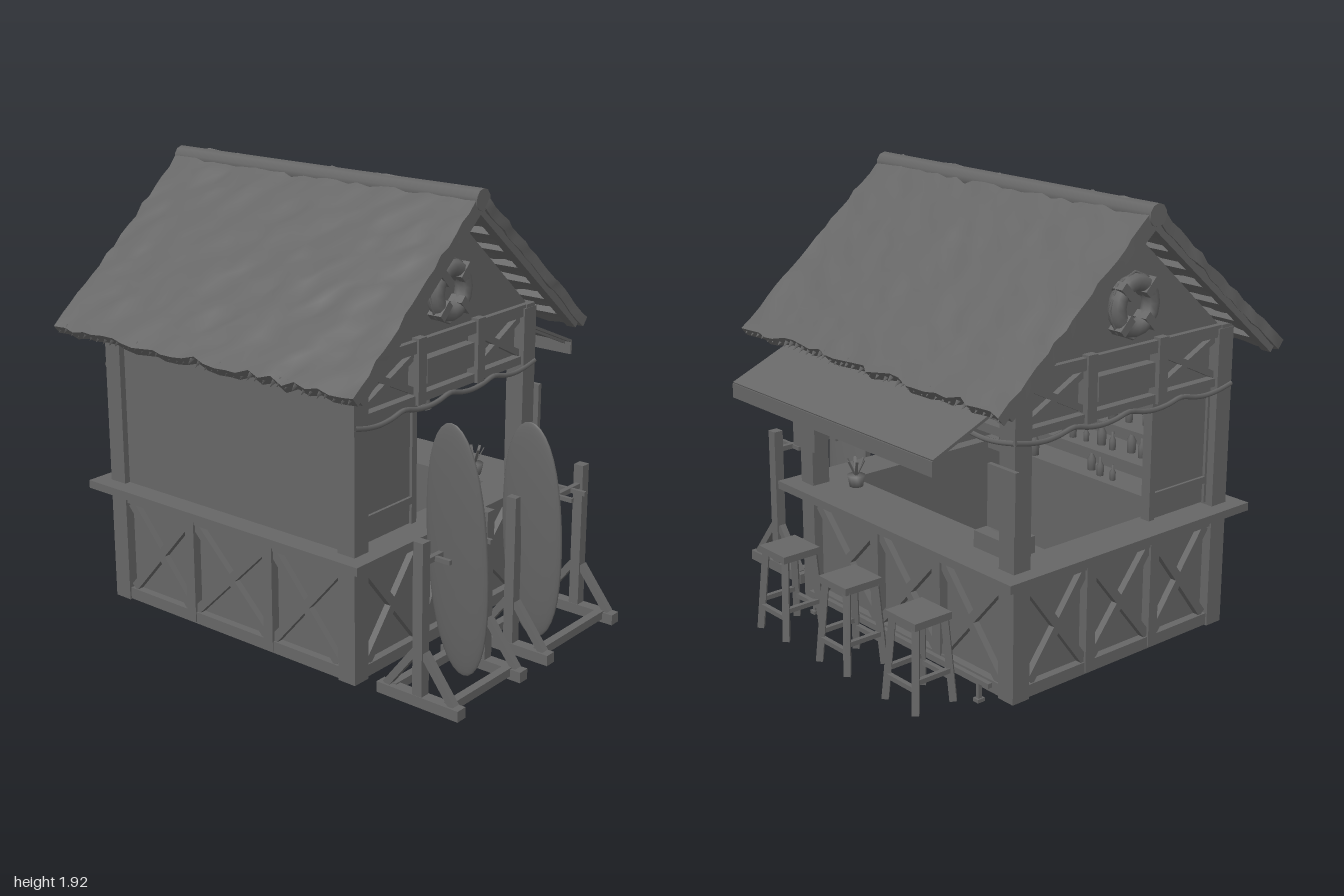
import * as THREE from 'three';

const gray = new THREE.MeshStandardMaterial({ color: 0x666666, side: THREE.DoubleSide });
gray.name = 'weathered gray';
const V = (x, y, z) => new THREE.Vector3(x, y, z);
const points = list => list.map(q => new THREE.Vector2(q[0], q[1]));

function add(parent, name, geo, x = 0, y = 0, z = 0) {
  const m = new THREE.Mesh(geo, gray);
  m.name = name;
  m.position.set(x, y, z);
  parent.add(m);
  return m;
}
const box = (p, name, w, h, d, x, y, z) => add(p, name, new THREE.BoxGeometry(w, h, d), x, y, z);

// Square bar running between two points, in the parent's own frame
function bar(p, name, a, b, w, d = w) {
  const m = box(p, name, w, d, a.distanceTo(b), (a.x + b.x) / 2, (a.y + b.y) / 2, (a.z + b.z) / 2);
  m.quaternion.setFromRotationMatrix(new THREE.Matrix4().lookAt(b, a, V(0, 1, 0)));
  return m;
}
function group(parent, name, x = 0, y = 0, z = 0) {
  const g = new THREE.Group();
  g.name = name;
  g.position.set(x, y, z);
  parent.add(g);
  return g;
}
function lathe(p, name, pts, x, y, z, seg = 10) {
  return add(p, name, new THREE.LatheGeometry(points(pts), seg), x, y, z);
}
const noise = (a, b, c) => {
  const s = Math.sin(a * 127.1 + b * 311.7 + c * 74.7) * 43758.5453;
  return s - Math.floor(s);
};

// Crossed braces inside a rectangle, on plane z
function cross(p, x0, x1, y0, y1, z, w) {
  bar(p, 'crossBrace', V(x0, y0, z), V(x1, y1, z), w);
  bar(p, 'crossBrace', V(x0, y1, z), V(x1, y0, z), w);
}

// Lower clad wall with framed, braced panels; local +z is outward
function lowerWall(p, width, dividers) {
  const h = width / 2;
  box(p, 'wallPanel', width - 0.08, 0.5, 0.03, 0, 0.27, -0.055);
  box(p, 'bottomRail', width - 0.06, 0.05, 0.05, 0, 0.05, -0.03);
  box(p, 'topRail', width - 0.06, 0.05, 0.05, 0, 0.495, -0.03);
  const edges = [-h + 0.08, ...dividers, h - 0.08];
  dividers.forEach(x => box(p, 'panelStud', 0.05, 0.48, 0.055, x, 0.27, -0.028));
  for (let i = 0; i < edges.length - 1; i++)
    cross(p, edges[i] + 0.02, edges[i + 1] - 0.02, 0.08, 0.47, -0.03, 0.038);
}

// Upper truss: two beams, studs, braces and a wavy garland
function upperTruss(p, width, studs, plaque) {
  const h = width / 2;
  box(p, 'topBeam', width, 0.05, 0.06, 0, 1.31, -0.035);
  box(p, 'lowerBeam', width - 0.1, 0.035, 0.05, 0, 1.095, -0.035);
  if (plaque) box(p, 'trussBacking', width - 0.1, 0.2, 0.015, 0, 1.2, -0.055);
  const edges = [-h + 0.07, ...studs, h - 0.07];
  studs.forEach(x => box(p, 'trussStud', 0.05, 0.27, 0.07, x, 1.21, -0.03));
  for (let i = 0; i < edges.length - 1; i++) {
    if (plaque && i === 1) box(p, 'plaque', 0.31, 0.1, 0.045, (edges[1] + edges[2]) / 2, 1.2, -0.025);
    else cross(p, edges[i], edges[i + 1], 1.12, 1.28, -0.035, 0.028);
  }
  const pts = [];
  for (let i = 0; i <= 16; i++)
    pts.push(V(-h + (width * i) / 16, 1.08 - 0.022 * (i % 4 === 0 ? 0 : i % 4 === 2 ? 1 : 0.7), 0.003));
  add(p, 'garland', new THREE.TubeGeometry(new THREE.CatmullRomCurve3(pts), 48, 0.011, 5));
}

// Gable wall carrying a life ring
function gable(p, offset) {
  const tri = new THREE.Shape(points([[-0.59, 1.3], [0.59, 1.3], [0, 1.82]]));
  add(p, 'gableWall', new THREE.ExtrudeGeometry(tri, { depth: 0.03, bevelEnabled: false }), offset, 0, -0.06);
  const x = -offset * 0.7;
  add(p, 'lifeRing', new THREE.TorusGeometry(0.092, 0.036, 8, 16), x, 1.5, 0);
  for (let i = 0; i < 4; i++) {
    const a = Math.PI / 4 + (i * Math.PI) / 2;
    box(p, 'ringBand', 0.076, 0.035, 0.074, x + 0.094 * Math.cos(a), 1.5 + 0.094 * Math.sin(a), 0).rotation.z = a;
  }
  add(p, 'ringRope', new THREE.TorusGeometry(0.132, 0.006, 5, 8), x, 1.5, 0);
}

function roofSide(p, s) {
  const len = 1.008, pitch = 0.701, g = group(p, 'roofSlope', -0.08, 1.91, -0.18);
  g.rotation.z = s > 0 ? -pitch : Math.PI + pitch;
  if (s < 0) g.scale.y = -1;
  // Thatch slab with dented surface and ragged edges
  const geo = new THREE.BoxGeometry(len, 0.045, 1.62, 18, 1, 28);
  const pos = geo.attributes.position;
  for (let i = 0; i < pos.count; i++) {
    const x = pos.getX(i), y = pos.getY(i), z = pos.getZ(i);
    const n = noise(Math.round(x * 50), Math.round(z * 50), s);
    const m = noise(Math.round(z * 50), Math.round(x * 50), s + 4);
    const eave = x > len / 2 - 0.01 ? 0.03 : 0.02;
    const dent = m > 0.93 && y > 0 ? 0.02 : 0;
    pos.setXYZ(i, x + (n - 0.5) * eave, y + (m - 0.5) * 0.014 - dent, z + (n - 0.5) * 0.014);
  }
  geo.computeVertexNormals();
  add(g, 'thatch', geo, len / 2, -0.024, 0);
  // Straw tufts along the eave
  for (let i = 0; i < 42; i++) {
    const t = add(g, 'eaveTuft', new THREE.ConeGeometry(0.016, 0.04, 4), len, -0.015 - 0.015 * noise(i, 2, s), -0.79 + i * 0.0385);
    t.rotation.z = -Math.PI / 2;
  }
  // Purlins under the thatch
  for (let i = 0; i < 7; i++) box(g, 'purlin', 0.035, 0.03, 1.57, 0.12 + i * 0.13, -0.058, 0);
}

function stool(p, z) {
  const g = group(p, 'stool', 0.75, 0, z);
  box(g, 'seat', 0.18, 0.03, 0.18, 0, 0.385, 0);
  for (const a of [-1, 1]) {
    for (const b of [-1, 1]) bar(g, 'stoolLeg', V(a * 0.07, 0.38, b * 0.07), V(a * 0.093, 0.03, b * 0.093), 0.028);
    bar(g, 'stretcher', V(a * 0.088, 0.13, -0.088), V(a * 0.088, 0.13, 0.088), 0.02);
    bar(g, 'stretcher', V(-0.086, 0.16, a * 0.086), V(0.086, 0.16, a * 0.086), 0.02);
  }
}

function boardStand(p, x0, x1) {
  const g = group(p, 'boardStand'), w = x1 - x0;
  for (const x of [x0, x1]) {
    box(g, 'standFoot', 0.05, 0.045, 0.39, x, 0.05, 0.8);
    box(g, 'standPost', 0.045, 0.64, 0.045, x, 0.38, 0.8);
    for (const s of [-1, 1]) bar(g, 'standBrace', V(x, 0.07, 0.8 + s * 0.16), V(x, 0.25, 0.8 + s * 0.02), 0.03);
  }
  for (const z of [0.665, 0.93]) box(g, 'standCrossbar', w, 0.035, 0.035, (x0 + x1) / 2, 0.06, z);
  box(g, 'standRail', w, 0.022, 0.022, (x0 + x1) / 2, 0.61, 0.8);
  for (const f of [0.18, 0.4, 0.62, 0.82]) box(g, 'peg', 0.016, 0.018, 0.14, x0 + w * f, 0.61, 0.81);
}

// Thin leaf-shaped board leaning sideways, a little fuller near the ends
function surfboard(p, x, y, h, lean) {
  const geo = new THREE.SphereGeometry(1, 24, 20);
  const pos = geo.attributes.position;
  for (let i = 0; i < pos.count; i++) {
    const t = pos.getY(i), k = 1 + 0.12 * t * t;
    pos.setXYZ(i, pos.getX(i) * 0.028, (t * h) / 2, pos.getZ(i) * 0.142 * k);
  }
  geo.computeVertexNormals();
  add(p, 'surfboard', geo, x, y, 0.858).rotation.z = lean;
}

export function createModel() {
  const root = new THREE.Group();
  root.name = 'beachBar';
  const body = group(root, 'hut', -0.095, 0, -0.18);
  const HX = 0.595, HZ = 0.68;

  // Floor and corner posts
  box(body, 'floor', 1.17, 0.03, 1.34, 0, 0.035, 0);
  for (const sx of [-1, 1]) for (const sz of [-1, 1])
    box(body, 'cornerPost', 0.085, 1.3, 0.085, sx * (HX - 0.04), 0.67, sz * (HZ - 0.04));

  // Four sides
  const sides = [
    ['front', 0, 0, HZ, 0, 2 * HX, [-0.155, 0.075], [-0.185, 0.205]],
    ['right', HX, 0, 0, Math.PI / 2, 2 * HZ, [-0.18, 0.22], [-0.23, 0.23]],
    ['back', 0, 0, -HZ, Math.PI, 2 * HX, [-0.18, 0.18], [-0.205, 0.185]],
    ['left', -HX, 0, 0, -Math.PI / 2, 2 * HZ, [-0.22, 0.22], null]
  ];
  for (const [name, x, y, z, r, w, dividers, studs] of sides) {
    const g = group(body, name + 'Side', x, y, z);
    g.rotation.y = r;
    lowerWall(g, w, dividers);
    const end = name === 'front' || name === 'back';
    if (studs) upperTruss(g, w, studs, end);
    else {
      box(g, 'solidWall', w - 0.1, 0.78, 0.03, 0, 0.93, -0.04);
      box(g, 'topBeam', w, 0.05, 0.06, 0, 1.31, -0.035);
    }
    if (end) {
      const s = name === 'front' ? 1 : -1;
      gable(g, 0.015 * s);
      // Framed cabinet end beside the left wall
      box(g, 'cabinetPanel', 0.36, 0.5, 0.03, -0.35 * s, 0.82, -0.06);
      for (const d of [-0.165, 0.165]) box(g, 'cabinetFrame', 0.03, 0.5, 0.045, (-0.35 + d) * s, 0.82, -0.055);
      for (const h of [0.67, 1.055]) box(g, 'cabinetFrame', 0.36, 0.03, 0.045, -0.35 * s, h, -0.055);
    }
  }

  // Counter ring
  const ring = new THREE.Shape(points([[-0.665, -0.75], [0.675, -0.75], [0.675, 0.75], [-0.665, 0.75]]));
  ring.holes.push(new THREE.Path(points([[-0.38, -0.57], [-0.38, 0.57], [0.4, 0.57], [0.4, -0.57]])));
  const top = new THREE.ExtrudeGeometry(ring, { depth: 0.035, bevelEnabled: false });
  add(body, 'counter', top.rotateX(-Math.PI / 2), 0, 0.525, 0);

  // Shelves and bottles along the left wall
  const bottle = [[0, 0], [0.02, 0], [0.022, 0.06], [0.009, 0.085], [0.009, 0.115], [0, 0.115]];
  for (const y of [0.56, 0.7, 0.84]) {
    if (y > 0.6) box(root, 'shelf', 0.2, 0.018, 1.2, -0.54, y, -0.18);
    for (let i = 0; i < 13; i++) {
      if (noise(i, y * 10, 3) < 0.25) continue;
      const b = lathe(root, 'bottle', bottle, -0.48 - 0.06 * noise(i, y, 1), y + 0.008, 0.32 - i * 0.078);
      b.scale.setScalar(0.6 + 0.55 * noise(i, y, 8));
    }
  }

  // Till and potted plant on the counter
  box(root, 'till', 0.14, 0.07, 0.2, 0.36, 0.595, -0.65);
  box(root, 'tillScreen', 0.03, 0.07, 0.12, 0.35, 0.655, -0.65).rotation.z = 0.3;
  lathe(root, 'pot', [[0, 0], [0.03, 0], [0.04, 0.05], [0, 0.05]], 0.36, 0.56, 0.3);
  for (let i = 0; i < 6; i++)
    bar(root, 'leaf', V(0.36, 0.6, 0.3), V(0.36 + 0.04 * Math.cos(i * 1.05), 0.68, 0.3 + 0.04 * Math.sin(i * 1.05)), 0.012, 0.004);

  // Hanging lamps
  for (const [x, y, z] of [[0.08, 0.915, 0.23], [0.26, 0.935, 0.1]]) {
    lathe(root, 'lampShade', [[0.038, 0], [0.032, 0.03], [0.015, 0.1], [0.006, 0.13]], x, y, z, 12);
    box(root, 'lampCord', 0.006, 1.19 - y, 0.006, x, (1.43 + y) / 2, z);
    box(root, 'tieBeam', 0.03, 0.04, 1.3, x, 1.31, -0.18);
  }

  // Awning with a drop edge, plus boards on the right posts
  bar(root, 'awning', V(0.49, 1.235, -0.18), V(0.855, 1.08, -0.18), 1.28, 0.012);
  box(root, 'awningValance', 0.01, 0.06, 1.28, 0.855, 1.05, -0.18);
  for (const z of [0.45, -0.81]) box(root, 'menuBoard', 0.02, 0.25, 0.155, 0.512, 0.85, z);
  for (const z of [0.43, -0.79]) bar(root, 'awningArm', V(0.5, 1.22, z), V(0.84, 1.075, z), 0.014);

  // Foot rail
  box(root, 'footRail', 0.02, 0.02, 1.17, 0.55, 0.09, -0.2);
  for (const z of [0.36, -0.15, -0.72]) {
    box(root, 'railSupport', 0.016, 0.1, 0.016, 0.55, 0.05, z);
    box(root, 'railBase', 0.035, 0.015, 0.03, 0.55, 0.008, z);
  }

  // Roof
  for (const s of [-1, 1]) {
    roofSide(root, s);
    for (const z of [0.6, -0.96])
      bar(root, 'rakePole', V(-0.08, 1.84, z), V(-0.08 + s * 0.72, 1.235, z), 0.045);
  }
  add(root, 'ridgePole', new THREE.CylinderGeometry(0.045, 0.045, 1.63, 10), -0.08, 1.87, -0.18).rotation.x = Math.PI / 2;

  // Stools, stands and surfboards
  [0.25, -0.17, -0.6].forEach(z => stool(root, z));
  boardStand(root, -0.66, -0.25);
  boardStand(root, -0.06, 0.43);
  surfboard(root, -0.515, 0.62, 1.06, 0.095);
  surfboard(root, -0.015, 0.55, 0.94, 0.07);
  return root;
}
